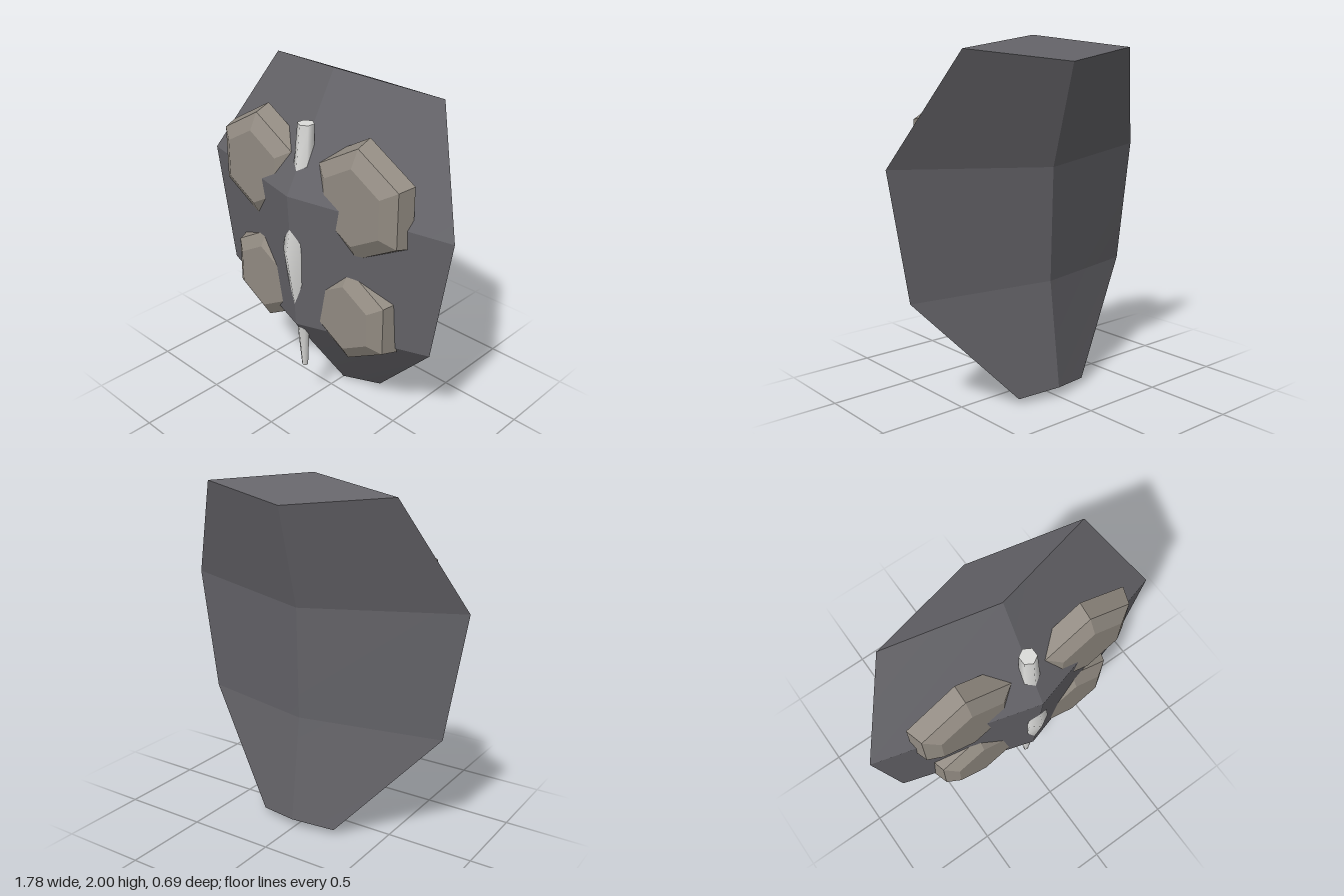
import * as THREE from 'three';
import { toCreasedNormals } from 'three/addons/utils/BufferGeometryUtils.js';

// Skins a stack of equal-sized rings (counter-clockwise seen from the stacking direction) and caps both ends
function loft(rings, creaseAngle) {
  const n = rings[0].length;
  const last = (rings.length - 1) * n;
  const index = [];
  for (let i = 0; i < rings.length - 1; i++) {
    for (let j = 0; j < n; j++) {
      const a = i * n + j, b = i * n + (j + 1) % n;
      index.push(a, b, b + n, a, b + n, a + n);
    }
  }
  for (let j = 1; j < n - 1; j++) {
    index.push(0, j + 1, j, last, last + j, last + j + 1);
  }
  const geometry = new THREE.BufferGeometry();
  geometry.setAttribute('position', new THREE.Float32BufferAttribute(rings.flat(2), 3));
  geometry.setIndex(index);
  return toCreasedNormals(geometry, creaseAngle);
}

export function createModel() {
  const group = new THREE.Group();
  const material = (name, color) => {
    const m = new THREE.MeshStandardMaterial({ color });
    m.name = name;
    return m;
  };
  const shellGrey = material('shell grey', 0x646368);
  const stone = material('stone', 0x928b82);
  const bone = material('bone', 0xdcdcda);

  const add = (name, geometry, mat) => {
    const mesh = new THREE.Mesh(geometry, mat);
    mesh.name = name;
    group.add(mesh);
  };

  // Faceted shell: diamond sections, each [half width, edge y, edge z, front y, front z, back y, back z]
  const sections = [
    [0.24, 0.03, -0.18, 0, -0.11, 0.055, -0.245],
    [0.775, 0.626, 0.06, 0.58, 0.285, 0.66, -0.17],
    [0.89, 1.34, 0.07, 1.39, 0.33, 1.3, -0.19],
    [0.594, 1.933, -0.18, 2, -0.02, 1.865, -0.343],
  ];
  add('shell', loft(sections.map(([w, ey, ez, fy, fz, by, bz]) => [
    [w, ey, ez], [0, by, bz], [-w, ey, ez], [0, fy, fz],
  ]), 0.1), shellGrey);

  // Bevelled hexagonal studs, two mirrored pairs
  const hexagon = (x, y, z, r) => Array.from({ length: 6 }, (_, j) => {
    const a = Math.PI / 6 + j * Math.PI / 3;
    return [x + r * Math.cos(a), y + r * Math.sin(a), z];
  });
  const studProfile = [[0.105, 1], [0.195, 0.905], [0.245, 0.635]];
  for (const [row, x, y, r] of [['upper', 0.37, 1.415, 0.339], ['lower', 0.32, 0.743, 0.31]]) {
    for (const side of [1, -1]) {
      const rings = studProfile.map(([z, s]) => hexagon(side * x, y, z, r * s));
      add(`${row}${side > 0 ? 'Left' : 'Right'}Stud`, loft(rings, 0.1), stone);
    }
  }

  // Bowed spine that passes in and out of the shell, each row [y, z, radius]
  const spine = [
    [0.27, 0.22, 0.018],
    [0.55, 0.228, 0.036],
    [0.8, 0.25, 0.057],
    [1.05, 0.273, 0.072],
    [1.52, 0.203, 0.056],
    [1.755, 0.185, 0.046],
  ];
  add('spine', loft(spine.map(([y, z, r]) => Array.from({ length: 6 }, (_, j) => {
    const a = j * Math.PI / 3;
    return [r * Math.sin(a), y, z + r * Math.cos(a)];
  })), 1.25), bone);

  return group;
}
